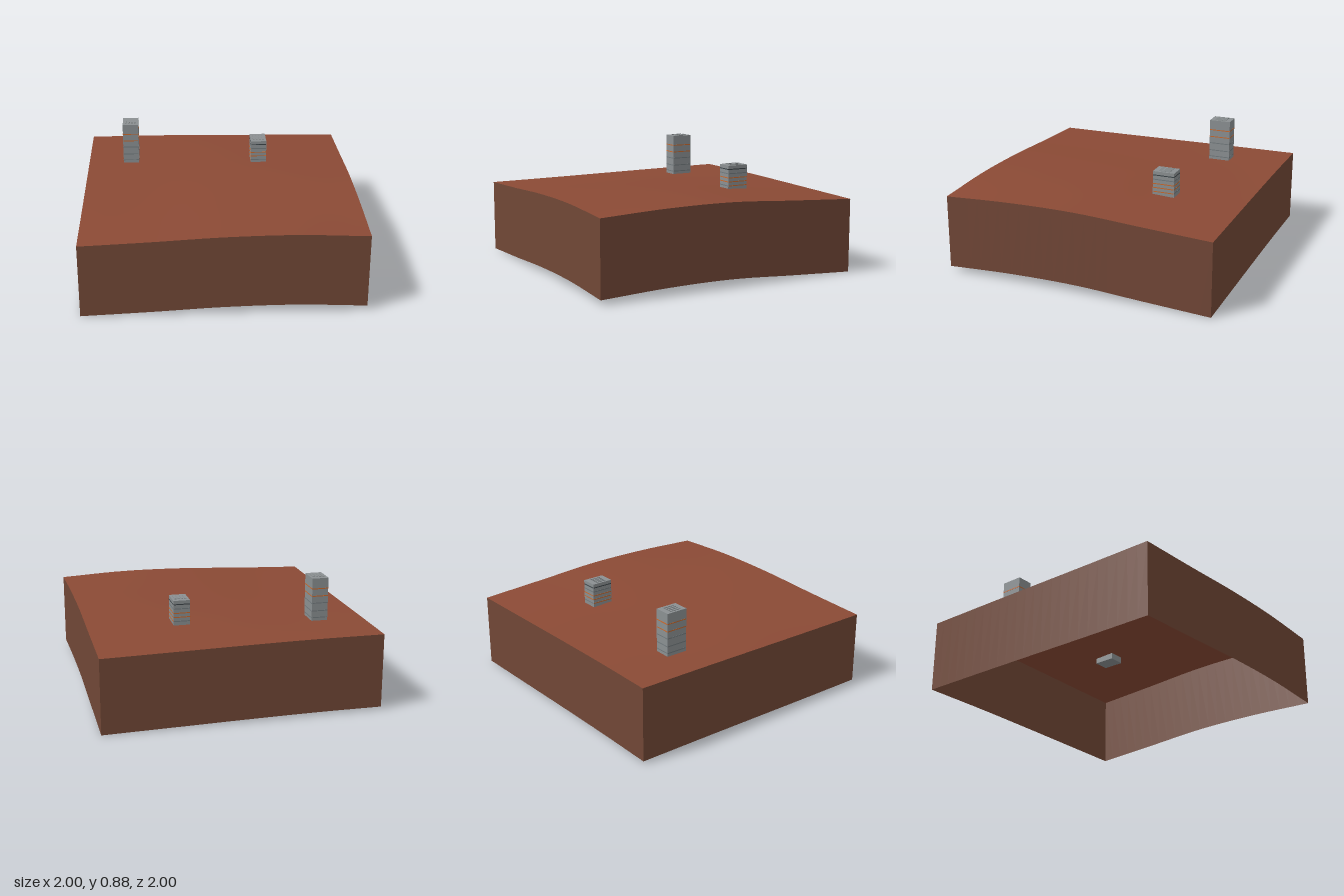
import * as THREE from 'three';

const mat = (name, color, side = THREE.FrontSide) => {
  const m = new THREE.MeshStandardMaterial({ color, side });
  m.name = name;
  return m;
};

// Ground heights on a 5 x 5 grid: rows run back to front, columns run along x
const HEIGHTS = [
  [0.556, 0.559, 0.555, 0.548, 0.541],
  [0.553, 0.558, 0.568, 0.571, 0.569],
  [0.548, 0.561, 0.583, 0.597, 0.598],
  [0.543, 0.562, 0.588, 0.599, 0.597],
  [0.540, 0.562, 0.588, 0.595, 0.575],
];
const DEPTH = 0.54;
const SEGMENTS = 24;

// Smooth curve through five evenly spaced values, t from -1 to 1
function smooth(v, t) {
  const u = THREE.MathUtils.clamp((t + 1) * 2, 0, 4);
  const i = Math.min(3, Math.floor(u));
  const f = u - i;
  const b = v[i], c = v[i + 1];
  const a = i > 0 ? v[i - 1] : 2 * b - c;
  const d = i < 3 ? v[i + 2] : 2 * c - b;
  return b + 0.5 * f * (c - a + f * (2 * a - 5 * b + 4 * c - d + f * (3 * (b - c) + d - a)));
}
const groundAt = (x, z) => smooth(HEIGHTS.map((row) => smooth(row, x)), z);

function addMesh(parent, name, geometry, material) {
  const mesh = new THREE.Mesh(geometry, material);
  mesh.name = name;
  parent.add(mesh);
  return mesh;
}

function addBox(parent, name, size, pos, material) {
  addMesh(parent, name, new THREE.BoxGeometry(...size), material).position.set(...pos);
}

// Tower block with floor bands on each face and low slats on the roof
function makeTower({ name, x, z, top, bands }, mats) {
  const tower = new THREE.Group();
  tower.name = name;
  const w = 0.12, d = 0.162, base = 0.53;
  addBox(tower, 'towerBody', [w, top - base, d], [x, (top + base) / 2, z], mats.concrete);
  for (const { y, front, side } of bands) {
    for (const s of [-1, 1]) {
      addBox(tower, 'floorBand', [w - 0.004, 0.007, 0.002], [x, y, z + s * d / 2], mats[front]);
      addBox(tower, 'floorBand', [0.002, 0.007, d - 0.004], [x + s * w / 2, y, z], mats[side]);
    }
  }
  for (let i = 0; i < 4; i++) {
    addBox(tower, 'roofSlat', [0.014, 0.005, 0.085], [x + (i - 1.5) * 0.024, top + 0.0025, z], mats.concrete);
  }
  return tower;
}

export function createModel() {
  const model = new THREE.Group();
  model.name = 'terrainTile';
  const soil = mat('red soil', 0x8b4a35, THREE.DoubleSide);
  const earth = mat('brown earth', 0x714736, THREE.DoubleSide);
  const mats = {
    concrete: mat('concrete grey', 0x8b9092),
    seam: mat('seam grey', 0x727a7d),
    dark: mat('dark slate', 0x3b4347),
    lit: mat('lit orange', 0xc8682c),
  };

  // Rolling top surface
  const topGeo = new THREE.PlaneGeometry(2, 2, SEGMENTS, SEGMENTS).rotateX(-Math.PI / 2);
  const tp = topGeo.attributes.position;
  for (let i = 0; i < tp.count; i++) tp.setY(i, groundAt(tp.getX(i), tp.getZ(i)));
  topGeo.computeVertexNormals();
  addMesh(model, 'groundSurface', topGeo, soil);

  // Four skirt walls that follow the surface edge; the underside stays open
  ['frontWall', 'leftWall', 'backWall', 'rightWall'].forEach((name, k) => {
    const geo = new THREE.PlaneGeometry(2, 1, SEGMENTS, 1).translate(0, 0, 1).rotateY(k * Math.PI / 2);
    const p = geo.attributes.position;
    for (let i = 0; i < p.count; i++) {
      p.setY(i, groundAt(p.getX(i), p.getZ(i)) - (p.getY(i) < 0 ? DEPTH : 0));
    }
    geo.computeVertexNormals();
    addMesh(model, name, geo, earth);
  });

  // Two tower blocks
  const band = (y, front, side = front) => ({ y, front, side });
  model.add(makeTower({
    name: 'tallTower', x: -0.668, z: -0.502, top: 0.872,
    bands: [band(0.795, 'lit'), band(0.74, 'lit'), band(0.688, 'seam'), band(0.63, 'seam'), band(0.58, 'seam')],
  }, mats));
  model.add(makeTower({
    name: 'shortTower', x: 0.332, z: -0.418, top: 0.752,
    bands: [band(0.724, 'dark'), band(0.692, 'seam'), band(0.66, 'lit'), band(0.63, 'lit'), band(0.6, 'seam', 'lit')],
  }, mats));
  return model;
}
